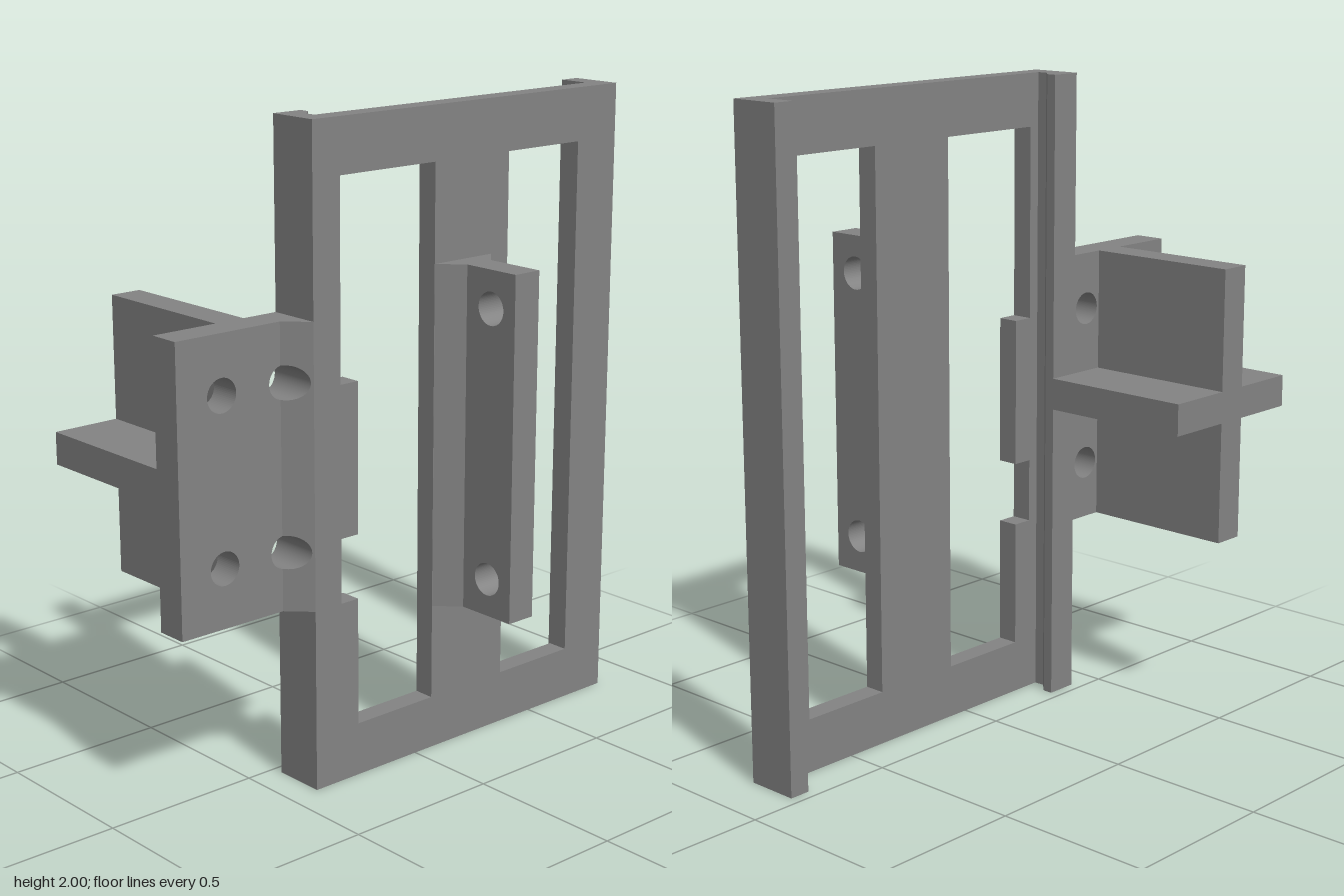
import * as THREE from 'three';

const material = new THREE.MeshStandardMaterial({ color: 0x838383 });

const polygon = (points) => new THREE.Shape(points.map(([x, y]) => new THREE.Vector2(x, y)));
const rectangle = (x0, y0, x1, y1) => polygon([[x0, y0], [x1, y0], [x1, y1], [x0, y1]]);

function drill(shape, x, y, r) {
  const hole = new THREE.Path();
  hole.absarc(x, y, r, 0, Math.PI * 2, true);
  shape.holes.push(hole);
}

function extrude(shape, depth) {
  return new THREE.ExtrudeGeometry(shape, { depth, bevelEnabled: false, curveSegments: 32 });
}

// (x, y) outline pushed along z
const alongZ = (shape, z0, z1) => extrude(shape, z1 - z0).translate(0, 0, z0);
// (x, z) outline pushed along y
const alongY = (shape, y0, y1) => extrude(shape, y1 - y0).rotateX(Math.PI / 2).translate(0, y1, 0);
// (z, y) outline pushed along x
const alongX = (shape, x0, x1) => extrude(shape, x1 - x0).rotateY(-Math.PI / 2).translate(x1, 0, 0);

export function createModel() {
  const model = new THREE.Group();
  const add = (name, geometry, parent = model) => {
    const mesh = new THREE.Mesh(geometry, material);
    mesh.name = name;
    parent.add(mesh);
  };

  const back = 0.033, mid = 0.133, front = 0.2;
  const low = 0.567, high = 1.433;

  // Face plate with two windows, the first one notched around its tabs
  const plate = rectangle(-0.4, 0, 0.833, 2);
  plate.holes.push(
    polygon([[0.066, 0.167], [0.066, 1.835], [-0.3, 1.835], [-0.3, 1.233], [-0.235, 1.233],
      [-0.235, 0.768], [-0.3, 0.768], [-0.3, low], [-0.235, low], [-0.235, 0.167]]),
    rectangle(0.367, 0.167, 0.667, 1.835)
  );
  add('facePlate', alongZ(plate, mid, front));

  // Side flanges, one plain and one with a snap hook
  add('leftFlange', alongY(rectangle(0.767, back, 0.833, mid), 0, 2));
  add('rightHookFlange', alongY(polygon([[-0.4, back], [-0.3, back], [-0.3, 0.065],
    [-0.335, 0.1], [-0.335, mid], [-0.4, mid]]), 0, 2));

  // Front rib: flared foot and a drilled blade
  const rib = new THREE.Group();
  rib.name = 'frontRib';
  model.add(rib);
  add('ribFoot', alongY(polygon([[0.067, front], [0.297, front], [0.23, 0.268], [0.133, 0.268]]), 0.468, 1.534), rib);
  const blade = rectangle(0.268, 0.468, 0.466, 1.534);
  for (const y of [0.584, 1.418]) drill(blade, 0.368, y, 0.051);
  add('ribBlade', alongX(blade, 0.133, 0.23), rib);

  // Side bracket: drilled mounting plate, split where its front starts to slope
  const bracket = new THREE.Group();
  bracket.name = 'sideBracket';
  model.add(bracket);
  const split = -0.467, holeX = -0.457, r = 0.051;
  const rows = [0.748, 1.255];
  const angle = Math.acos((split - holeX) / r);

  const flat = new THREE.Shape();
  flat.moveTo(-0.833, low);
  flat.lineTo(split, low);
  for (const y of rows) flat.absarc(holeX, y, r, -angle, angle - Math.PI * 2, true);
  flat.lineTo(split, high);
  flat.lineTo(-0.833, high);
  for (const y of rows) drill(flat, -0.677, y, r);
  add('mountingPlate', alongZ(flat, back, mid), bracket);

  const slope = new THREE.Shape();
  slope.moveTo(-0.4, low);
  slope.lineTo(-0.4, high);
  slope.lineTo(split, high);
  for (const y of [...rows].reverse()) slope.absarc(holeX, y, r, angle, -angle, true);
  slope.lineTo(split, low);
  const gusset = alongZ(slope, back, mid);
  const p = gusset.attributes.position;
  for (let i = 0; i < p.count; i++) {
    if (p.getZ(i) > 0.1) p.setZ(i, mid + (p.getX(i) - split) * (front - mid) / (-0.4 - split));
  }
  gusset.computeVertexNormals();
  add('mountingGusset', gusset, bracket);

  // Cross-shaped fins behind the mounting plate
  add('crossFins', alongZ(polygon([
    [-0.617, low], [-0.517, low], [-0.517, 0.952], [-0.3, 0.952], [-0.3, 1.052], [-0.517, 1.052],
    [-0.517, high], [-0.617, high], [-0.617, 1.052], [-0.833, 1.052], [-0.833, 0.952], [-0.617, 0.952]
  ]), -0.466, back), bracket);

  return model;
}
